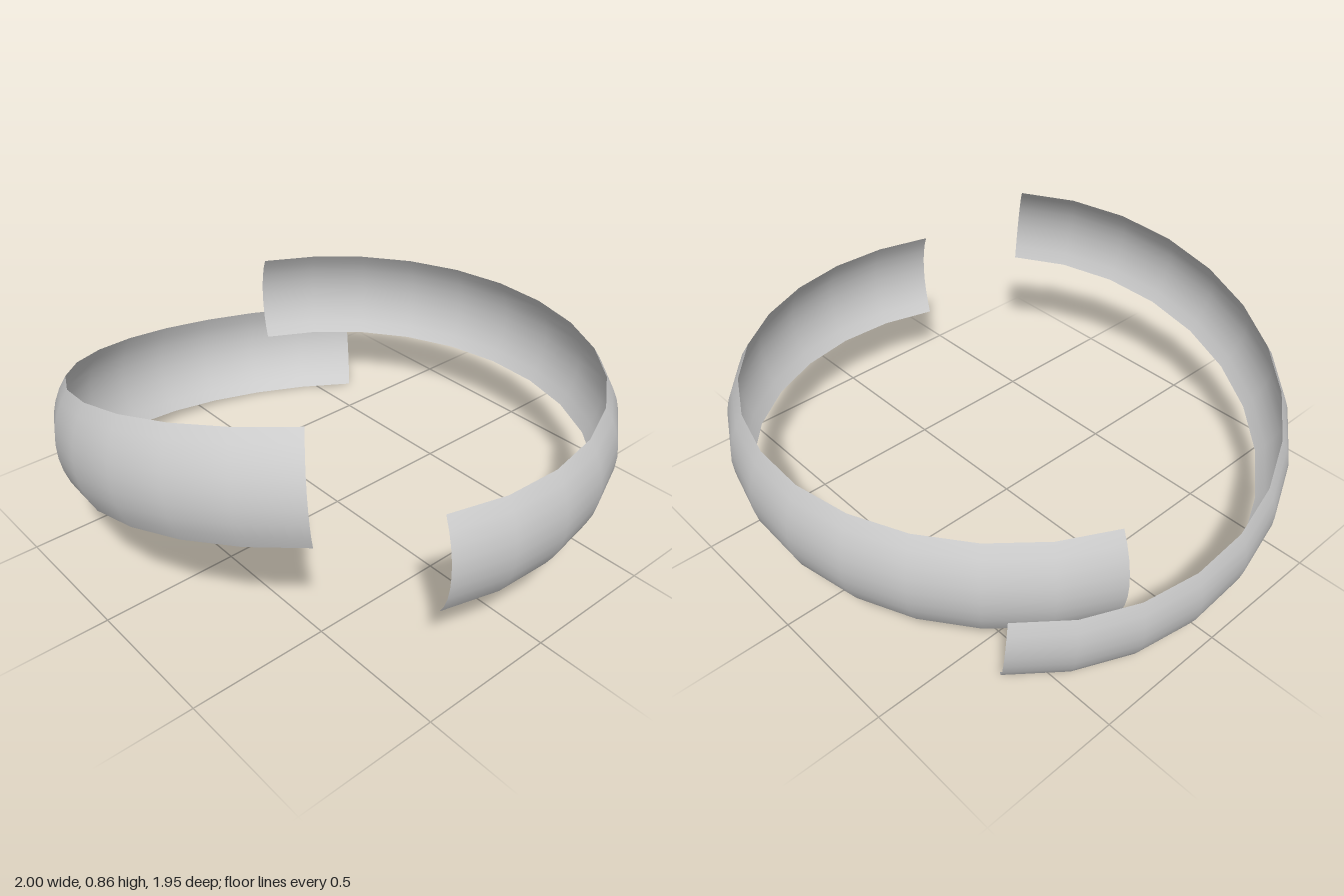
import * as THREE from 'three';

export function createModel() {
  const group = new THREE.Group();
  const material = new THREE.MeshStandardMaterial({ color: 0xcccccc, side: THREE.DoubleSide });

  // Outward-bulging cross-section of the band, swept through half a turn
  const bulgeRadius = 0.3, ringRadius = 0.69, halfAngle = 0.645, steps = 8;
  const profile = [];
  for (let i = 0; i <= steps; i++) {
    const a = -halfAngle + (2 * halfAngle * i) / steps;
    profile.push(new THREE.Vector2(ringRadius + bulgeRadius * Math.cos(a), bulgeRadius * Math.sin(a)));
  }
  const bandGeometry = new THREE.LatheGeometry(profile, 14, -Math.PI / 2, Math.PI);

  // Places a half band by its centre, the direction of its first end and its axis
  function addBand(name, centre, end, axis) {
    const x = new THREE.Vector3(...end).normalize();
    const z = x.clone().cross(new THREE.Vector3(...axis)).normalize();
    const y = z.clone().cross(x);
    const band = new THREE.Mesh(bandGeometry, material);
    band.name = name;
    band.quaternion.setFromRotationMatrix(new THREE.Matrix4().makeBasis(x, y, z));
    band.position.set(...centre);
    group.add(band);
  }

  // Level half around the back, tilted half around the front left
  addBand('levelBand', [0.008, 0.441, 0.008], [-0.93, 0, -0.368], [0, 1, 0]);
  addBand('tiltedBand', [-0.04, 0.437, -0.01], [0.6425, 0.252, 0.635], [-0.25, 0.958, -0.139]);

  return group;
}
